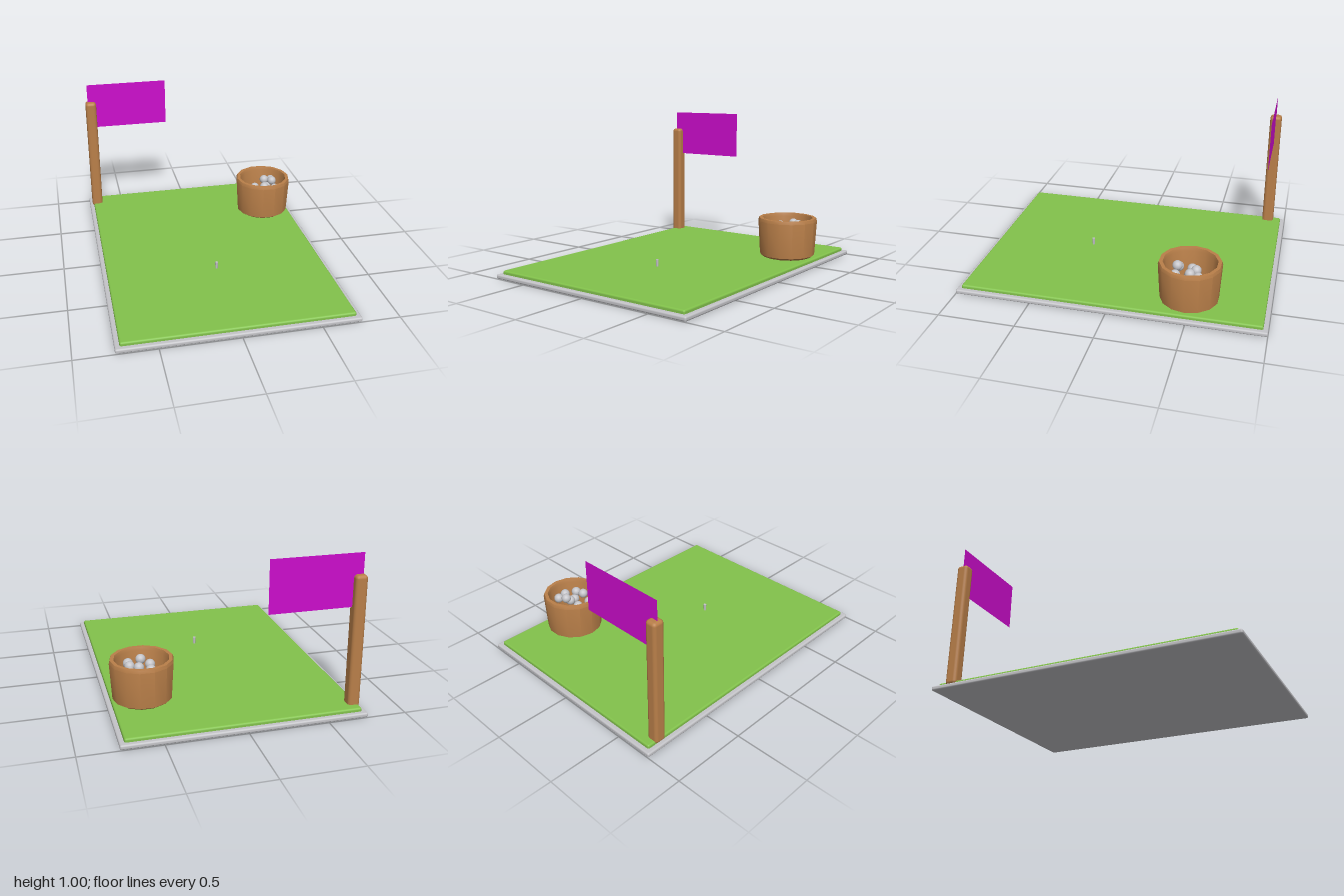
import * as THREE from 'three';
import { RoundedBoxGeometry } from 'three/addons/geometries/RoundedBoxGeometry.js';
import { toCreasedNormals } from 'three/addons/utils/BufferGeometryUtils.js';

const material = (name, color, side = THREE.FrontSide) => {
  const m = new THREE.MeshStandardMaterial({ color, side });
  m.name = name;
  return m;
};

export function createModel() {
  const grey = material('light grey', 0xc4c4c8);
  const green = material('turf green', 0x82c24b);
  const brown = material('wood brown', 0xb97f49);
  const magenta = material('flag magenta', 0xcc0ccc, THREE.DoubleSide);

  const model = new THREE.Group();
  model.name = 'golfPracticeMat';

  const add = (name, geometry, mat, x, y, z, parent = model) => {
    const mesh = new THREE.Mesh(geometry, mat);
    mesh.name = name;
    mesh.position.set(x, y, z);
    parent.add(mesh);
    return mesh;
  };
  // rounded slab spanning the heights y0 to y1
  const slab = (name, mat, w, d, y0, y1, r, x = 0, z = 0) =>
    add(name, new RoundedBoxGeometry(w, y1 - y0, d, 2, r), mat, x, (y0 + y1) / 2, z);

  // mat
  slab('matBase', grey, 1.51, 2, 0, 0.03, 0.011);
  slab('turf', green, 1.45, 1.94, 0.015, 0.053, 0.012);

  // flag on its post
  slab('flagPost', brown, 0.077, 0.08, 0.03, 0.875, 0.022, -0.698, -0.878);
  add('flag', new THREE.PlaneGeometry(0.58, 0.33), magenta, -0.43, 0.84, -0.878);

  // tee
  add('tee', new THREE.CylinderGeometry(0.01, 0.008, 0.05, 10), grey, 0, 0.075, 0.29);

  // fourteen-sided bucket, open at the bottom, with a bevelled rim
  const profile = [
    [0.135, 0.062], [0.14, 0.053], [0.165, 0.055], [0.187, 0.07], [0.201, 0.305], [0.195, 0.325],
    [0.172, 0.325], [0.166, 0.305], [0.153, 0.085], [0.135, 0.062],
  ].map(([r, y]) => new THREE.Vector2(r, y));
  const bucket = toCreasedNormals(new THREE.LatheGeometry(profile, 14, Math.PI / 2), 0.5);
  add('bucket', bucket, brown, 0.531, 0, -0.49);

  // balls in the bucket
  const balls = new THREE.Group();
  balls.name = 'balls';
  model.add(balls);
  const ballGeometry = new THREE.SphereGeometry(0.032, 16, 12);
  [
    [0.474, 0.24, -0.495], [0.555, 0.28, -0.532], [0.613, 0.265, -0.553],
    [0.607, 0.28, -0.5], [0.565, 0.24, -0.49], [0.463, 0.24, -0.408],
    [0.523, 0.28, -0.408], [0.588, 0.22, -0.435], [0.602, 0.26, -0.408],
  ].forEach(([x, y, z], i) => add(`ball${i + 1}`, ballGeometry, grey, x, y, z, balls));

  return model;
}
